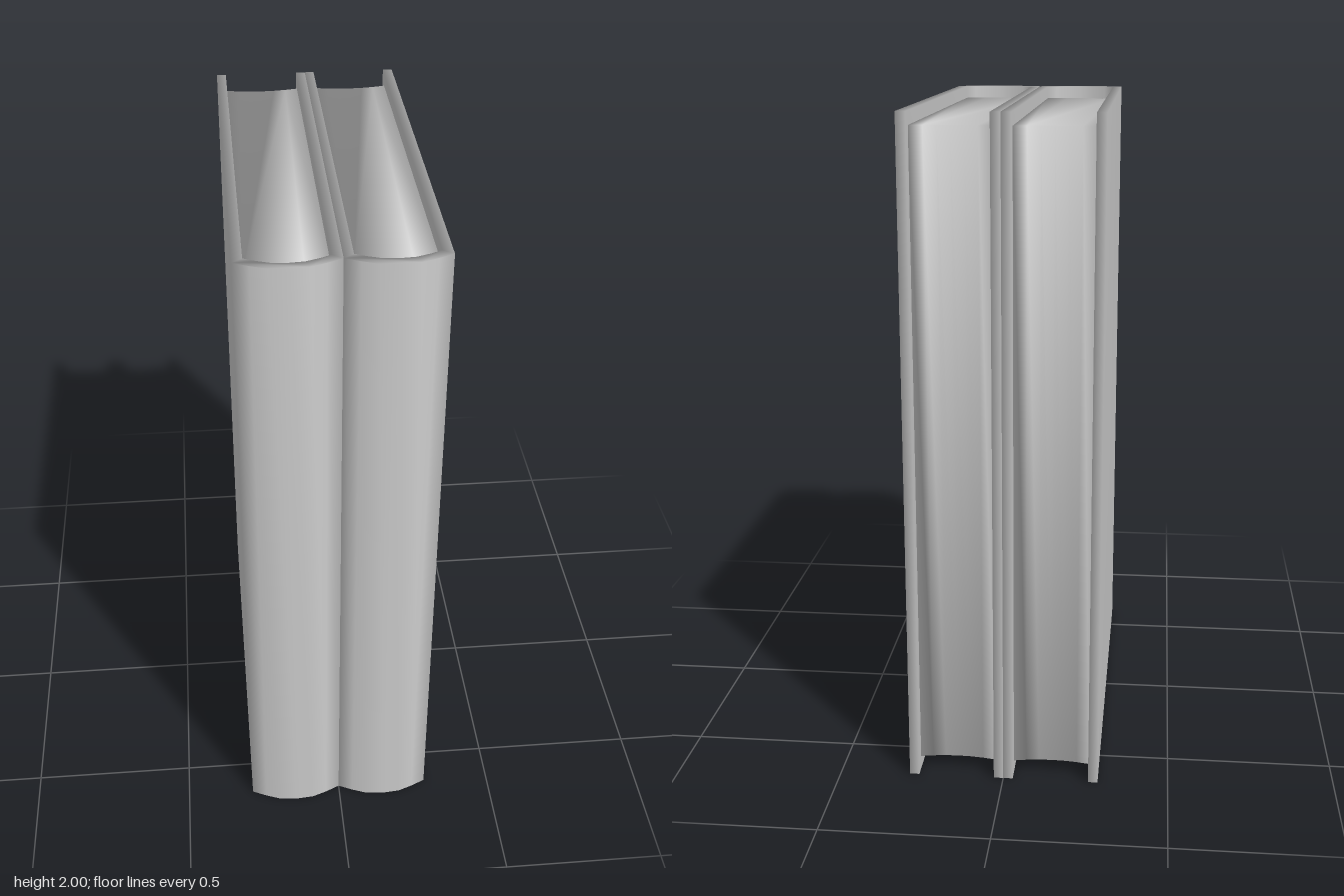
import * as THREE from 'three';
import { mergeVertices } from 'three/addons/utils/BufferGeometryUtils.js';

const HEIGHT = 2, HALF = 0.144, BACK = -0.665;
const BOARD = 0.029;   // cover thickness
const RECESS = 0.04;   // pages set back from the cover edges

// Extrudes an [x, z] outline upwards and shares vertices for soft edges.
function upright(outline, y0, y1) {
  const shape = new THREE.Shape(outline.map(([x, z]) => new THREE.Vector2(x, -z)));
  const geo = new THREE.ExtrudeGeometry(shape, { depth: y1 - y0, bevelEnabled: false });
  geo.rotateX(-Math.PI / 2).translate(0, y0, 0);
  geo.deleteAttribute('uv');
  geo.deleteAttribute('normal');
  const welded = mergeVertices(geo, 1e-4);
  welded.computeVertexNormals();
  return welded;
}

// Rounded spine curves, running from -x to +x
const outerSpine = [[-HALF, 0.622], [-0.1, 0.643], [-0.055, 0.66], [0, 0.665], [0.055, 0.66], [0.1, 0.643], [HALF, 0.622]];
const inner = HALF - BOARD;
const innerSpine = [[-inner, 0.6], [-0.085, 0.615], [-0.045, 0.63], [0, 0.634], [0.045, 0.63], [0.085, 0.615], [inner, 0.6]];

export function createModel() {
  const group = new THREE.Group();
  const gray = new THREE.MeshStandardMaterial({ color: 0xcccccc });
  gray.name = 'gray';

  // Cover: two boards joined by the spine
  const coverGeo = upright([
    [-HALF, BACK], ...outerSpine, [HALF, BACK],
    [inner, BACK], ...[...innerSpine].reverse(), [-inner, BACK],
  ], 0, HEIGHT);

  // Pages: rounded at the spine, hollow at the open edge
  const foreEdge = [];
  for (let i = 0; i <= 6; i++) {
    const t = 1 - i / 3;
    foreEdge.push([inner * t, -0.613 - 0.014 * t * t]);
  }
  const pagesGeo = upright([...innerSpine, ...foreEdge], RECESS, HEIGHT - RECESS);

  for (const [side, name] of [[-1, 'rightBook'], [1, 'leftBook']]) {
    const book = new THREE.Group();
    book.name = name;
    const cover = new THREE.Mesh(coverGeo, gray);
    cover.name = 'cover';
    const pages = new THREE.Mesh(pagesGeo, gray);
    pages.name = 'pages';
    book.add(cover, pages);
    book.position.x = side * HALF;
    group.add(book);
  }
  return group;
}
